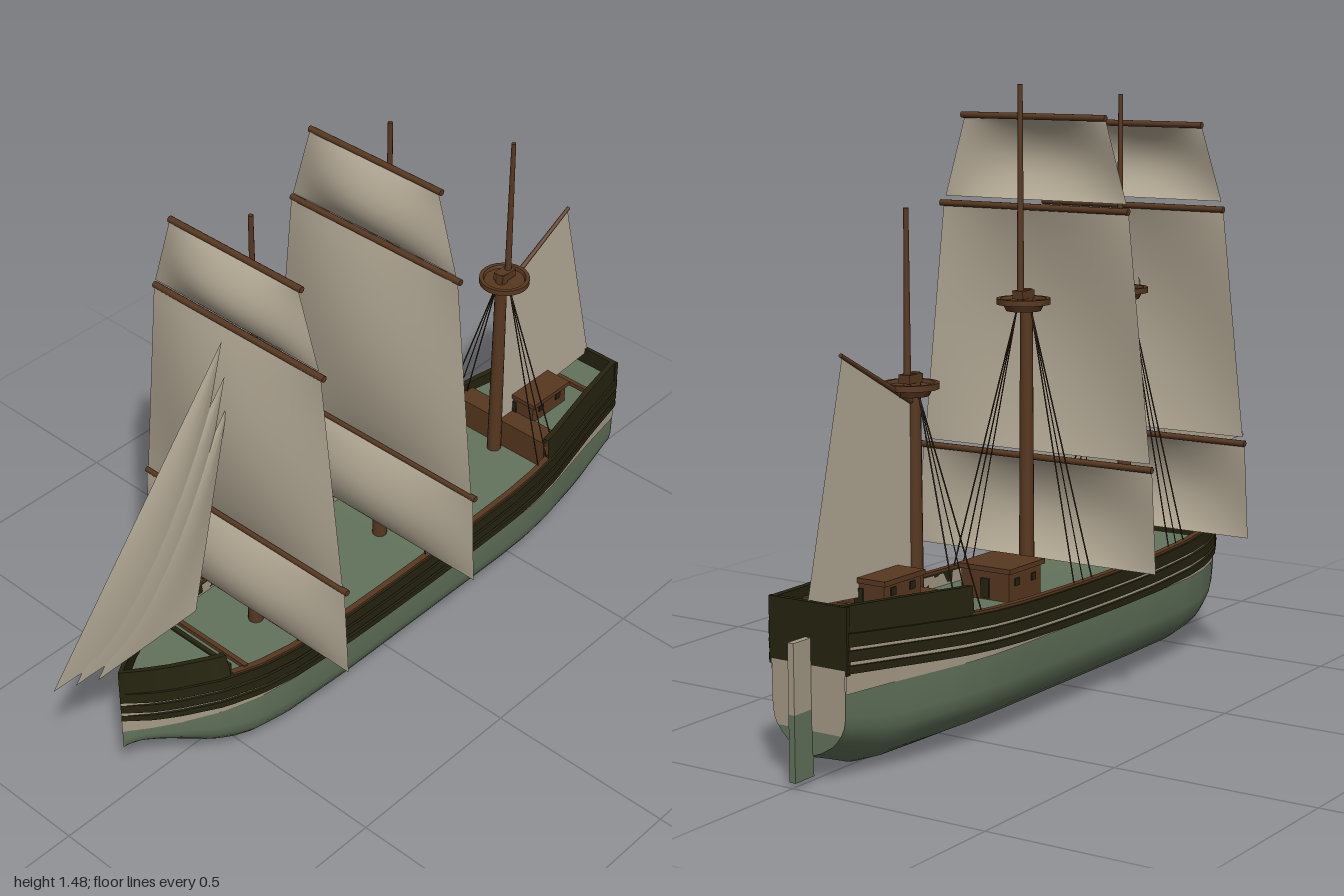
import * as THREE from 'three';
import { toCreasedNormals } from 'three/addons/utils/BufferGeometryUtils.js';

const mat = (name, color) => new THREE.MeshStandardMaterial({ name, color, side: THREE.DoubleSide });
const V = (x, y, z) => new THREE.Vector3(x, y, z);

// linear lookup in a list of [z, value], z falling
function lookup(list, z) {
  for (let i = 1; i < list.length; i++) {
    const [z0, a] = list[i - 1], [z1, b] = list[i];
    if (z >= z1) return a + (b - a) * Math.min(1, Math.max(0, (z0 - z) / (z0 - z1)));
  }
  return list[list.length - 1][1];
}
const BOW = 0.81, STERN = -0.94;
const WIDTH = [[0.81, 0], [0.75, 0.042], [0.7, 0.074], [0.6, 0.125], [0.5, 0.156], [0.4, 0.171], [0.2, 0.18],
  [-0.4, 0.182], [-0.5, 0.178], [-0.6, 0.166], [-0.8, 0.124], [-0.94, 0.1]];
const KEEL = [[0.81, 0.157], [0.76, 0.148], [0.71, 0.125], [0.65, 0.085], [0.6, 0.05], [0.55, 0.022], [0.5, 0.008],
  [0.4, 0], [-0.75, 0], [-0.8, 0.006], [-0.88, 0.035], [-0.94, 0.055]];
const SECTION = [[0, 0], [0.07, 0.31], [0.18, 0.6], [0.27, 0.75], [0.37, 0.87], [0.48, 0.95], [0.62, 0.99], [1, 1]];
const width = z => lookup(WIDTH, z);
const keel = z => lookup(KEEL, z);
const sheer = z => 0.298 + 0.05 * z * z;
const WATERLINE = 0.215;
const hullSide = z => SECTION.map(([t, f]) => [width(z) * f, keel(z) + (WATERLINE - keel(z)) * t]);

// surface through rows of points
function grid(rows, crease = 0.7) {
  const n = rows[0].length, index = [];
  for (let i = 0; i < rows.length - 1; i++) for (let j = 0; j < n - 1; j++) {
    const a = i * n + j, b = a + 1, c = a + n, d = c + 1;
    index.push(a, c, b, b, c, d);
  }
  const g = new THREE.BufferGeometry().setFromPoints(rows.flat());
  g.setIndex(index);
  return toCreasedNormals(g, crease);
}
// rows of cross-sections between two stations, front to back
function loft(z0, z1, section, steps = 60) {
  const rows = [];
  for (let i = 0; i <= steps; i++) {
    const z = z0 + (z1 - z0) * i / steps;
    rows.push(section(z).map(([x, y]) => V(x, y, z)));
  }
  return grid(rows);
}

export function createModel() {
  const ship = new THREE.Group();
  ship.name = 'sailingShip';
  const green = mat('hullGreen', 0x62735b), dark = mat('darkTimber', 0x25230f), brown = mat('brownTimber', 0x573820),
    tan = mat('palePlanking', 0xa59a86), canvas = mat('canvas', 0xb3a995), rope = mat('rope', 0x3a2a1a);

  const add = (name, geo, m, parent = ship) => {
    const mesh = new THREE.Mesh(geo, m);
    mesh.name = name;
    parent.add(mesh);
    return mesh;
  };
  const box = (name, m, w, h, d, x, y, z) => add(name, new THREE.BoxGeometry(w, h, d), m).position.set(x, y, z);
  const rod = (name, m, a, b, r0, r1 = r0, sides = 10) => {
    const mesh = add(name, new THREE.CylinderGeometry(r1, r0, a.distanceTo(b), sides), m);
    mesh.position.copy(a).lerp(b, 0.5);
    mesh.quaternion.setFromUnitVectors(V(0, 1, 0), b.clone().sub(a).normalize());
  };

  // lower hull
  add('lowerHull', loft(BOW, STERN, z => {
    const side = hullSide(z);
    return [...side.slice(1).reverse().map(([x, y]) => [-x, y]), ...side];
  }, 80), green);

  // planks and rails running along both sides
  const band = (name, m, z0, z1, low, high, out, lean = 1) => {
    for (const s of [1, -1]) {
      const section = z => {
        const w = width(z), o = w + out * Math.min(1, w / 0.04), i = Math.max(0, w - 0.013);
        const loop = [[i, low(z)], [o, low(z)], [o * lean, high(z)], [i * lean, high(z)], [i, low(z)]];
        return s > 0 ? loop : loop.reverse().map(([x, y]) => [-x, y]);
      };
      add(name, loft(z0, z1, section), m);
    }
  };
  band('sidePlanking', tan, BOW, STERN, () => 0.208, z => sheer(z) - 0.005, 0.002);
  for (const [top, bottom] of [[0, 0.03], [0.038, 0.062], [0.071, 0.088]])
    band('wale', dark, BOW, STERN, z => sheer(z) - bottom, z => sheer(z) - top, 0.009);
  band('capRail', brown, 0.57, -0.57, sheer, z => sheer(z) + 0.006, 0.003);

  // raised bulwarks at bow and stern
  const foreTop = z => 0.372 + (z - 0.58) * 0.12, poopTop = z => 0.38 - (z + 0.57) * 0.055;
  band('forecastleWall', dark, BOW, 0.575, z => sheer(z) - 0.004, foreTop, 0.003, 0.88);
  band('poopWall', dark, -0.565, STERN, z => sheer(z) - 0.004, poopTop, 0.003, 0.97);

  // decks and bulkheads
  const deck = (name, z0, z1, y) => add(name, loft(z0, z1, z => {
    const w = Math.max(0, width(z) - 0.006) * (y(z) > sheer(z) ? 0.96 : 1);
    return [[w, y(z)], [-w, y(z)]];
  }), green);
  deck('mainDeck', 0.58, -0.58, z => sheer(z) - 0.035);
  deck('forecastleDeck', 0.8, 0.565, () => 0.335);
  deck('poopDeck', -0.57, STERN, () => 0.352);
  box('forecastleBulkhead', dark, 0.25, 0.08, 0.012, 0, 0.3, 0.57);
  box('forecastleBeam', brown, 0.28, 0.012, 0.012, 0, 0.316, 0.53);
  box('poopBulkhead', brown, 0.31, 0.1, 0.06, 0, 0.31, -0.598);
  box('poopBeam', brown, 0.22, 0.012, 0.012, 0, 0.366, -0.82);

  // stern plates
  const plate = (name, m, points, z) => {
    const outline = [...points, ...points.slice().reverse().map(([x, y]) => [-x, y])].map(p => new THREE.Vector2(...p));
    const g = new THREE.ShapeGeometry(new THREE.Shape(outline));
    g.rotateY(Math.PI);
    add(name, g, m).position.z = z;
  };
  const sternSide = hullSide(STERN);
  plate('lowerTransom', green, sternSide, STERN);
  plate('paleTransom', tan, [...sternSide.slice(4), [0.1, 0.26]], STERN - 0.002);
  box('upperTransom', dark, 0.212, 0.15, 0.012, 0, 0.324, STERN + 0.004);

  // rudder
  box('lowerRudder', green, 0.016, 0.15, 0.064, 0, 0.087, -0.968);
  box('upperRudder', tan, 0.016, 0.158, 0.064, 0, 0.241, -0.968);

  // deck houses with roof, windows and door
  const cabin = (z, y, depth, h) => {
    box('cabin', brown, 0.136, h, depth - 0.014, 0, y + h / 2, z);
    box('cabinRoof', brown, 0.152, 0.012, depth, 0, y + h, z);
    for (const s of [1, -1]) {
      for (const dz of [-0.035, 0.035]) box('cabinWindow', dark, 0.004, 0.018, 0.018, s * 0.069, y + h * 0.62, z + dz);
      box('cabinDoor', dark, 0.024, h * 0.6, 0.004, 0, y + h * 0.4, z + s * (depth / 2 - 0.006));
    }
  };
  cabin(-0.205, 0.262, 0.15, 0.08);
  cabin(-0.692, 0.35, 0.15, 0.06);

  // masts with fighting tops and shrouds
  const mast = (z, foot, joint, tip, topY, zUp) => {
    rod('lowerMast', brown, V(0, foot, z), V(0, joint, z), 0.019, 0.015, 14);
    rod('upperMast', brown, V(0, topY, zUp), V(0, tip, zUp), 0.009, 0.006, 10);
    const zc = (z + zUp) / 2;
    const top = new THREE.LatheGeometry([[0, -0.018], [0.042, -0.018], [0.05, -0.002], [0.065, -0.002], [0.065, 0.012],
      [0.055, 0.012], [0.052, 0.004], [0, 0.004]].map(p => new THREE.Vector2(...p)), 24);
    add('mastTop', toCreasedNormals(top, 0.6), brown).position.set(0, topY, zc);
    box('mastCap', brown, 0.03, 0.02, Math.abs(z - zUp) + 0.026, 0, joint - 0.012, zc);
    for (const s of [1, -1]) for (const dz of [0.02, -0.02, -0.06])
      rod('shroud', rope, V(s * 0.02, topY - 0.015, z - 0.01), V(s * (width(z + dz) - 0.006), sheer(z + dz), z + dz),
        0.0018, 0.0018, 4);
  };
  mast(0.358, 0.26, 0.975, 1.44, 0.942, 0.333);
  mast(-0.095, 0.26, 0.99, 1.475, 0.957, -0.12);
  mast(-0.55, 0.26, 0.845, 1.215, 0.812, -0.575);

  // billowing square sails, each hung from a yard
  const squareSail = (z, yTop, yLow, wTop, wLow, bulge) => {
    const rows = [], N = 16;
    for (let i = 0; i <= N; i++) {
      const v = i / N, w = wTop + (wLow - wTop) * v, row = [];
      for (let j = 0; j <= N; j++) {
        const u = j / N, lift = Math.pow(Math.sin(Math.PI * v), 0.85) * Math.sin(Math.PI * u);
        row.push(V((2 * u - 1) * w, yTop + (yLow - yTop) * v, z + bulge * Math.max(0, lift || 0)));
      }
      rows.push(row);
    }
    add('squareSail', grid(rows, 1.5), canvas);
    rod('yard', brown, V(-wTop - 0.004, yTop + 0.003, z - 0.006), V(wTop + 0.004, yTop + 0.003, z - 0.006), 0.008);
  };
  for (const [z, course, top, gallant] of [
    [0.392, [0.572, 0.333], [1.155, 0.59], [1.362, 1.178]],
    [-0.062, [0.576, 0.328], [1.18, 0.592], [1.395, 1.2]]]) {
    squareSail(z, ...course, 0.332, 0.344, 0.046);
    squareSail(z, ...top, 0.264, 0.326, 0.046);
    squareSail(z, ...gallant, 0.2, 0.258, 0.046);
  }

  // three overlapping headsails: top, tack and clew as [z, y]
  for (const [t, k, c] of [
    [[0.435, 1.155], [1, 0.477], [0.62, 0.465]],
    [[0.43, 1.055], [0.935, 0.45], [0.59, 0.445]],
    [[0.425, 0.97], [0.87, 0.42], [0.555, 0.425]]]) {
    const rows = [], N = 10;
    for (let i = 0; i <= N; i++) {
      const v = i / N, row = [];
      for (let j = 0; j <= N; j++) {
        const u = j / N, p = n => t[n] + ((k[n] + (c[n] - k[n]) * u) - t[n]) * v;
        row.push(V(0.012 * Math.sin(Math.PI * u) * Math.sin(Math.PI * v), p(1), p(0)));
      }
      rows.push(row);
    }
    add('headsail', grid(rows, 1.5), canvas);
  }

  // fore-and-aft sail on the rear mast
  add('spankerSail', grid([
    [V(0, 0.78, -0.565), V(0, 0.912, -0.81)],
    [V(0, 0.355, -0.565), V(0, 0.385, -0.942)]]), canvas);
  rod('gaff', brown, V(0, 0.78, -0.56), V(0, 0.914, -0.815), 0.007, 0.005);

  return ship;
}
